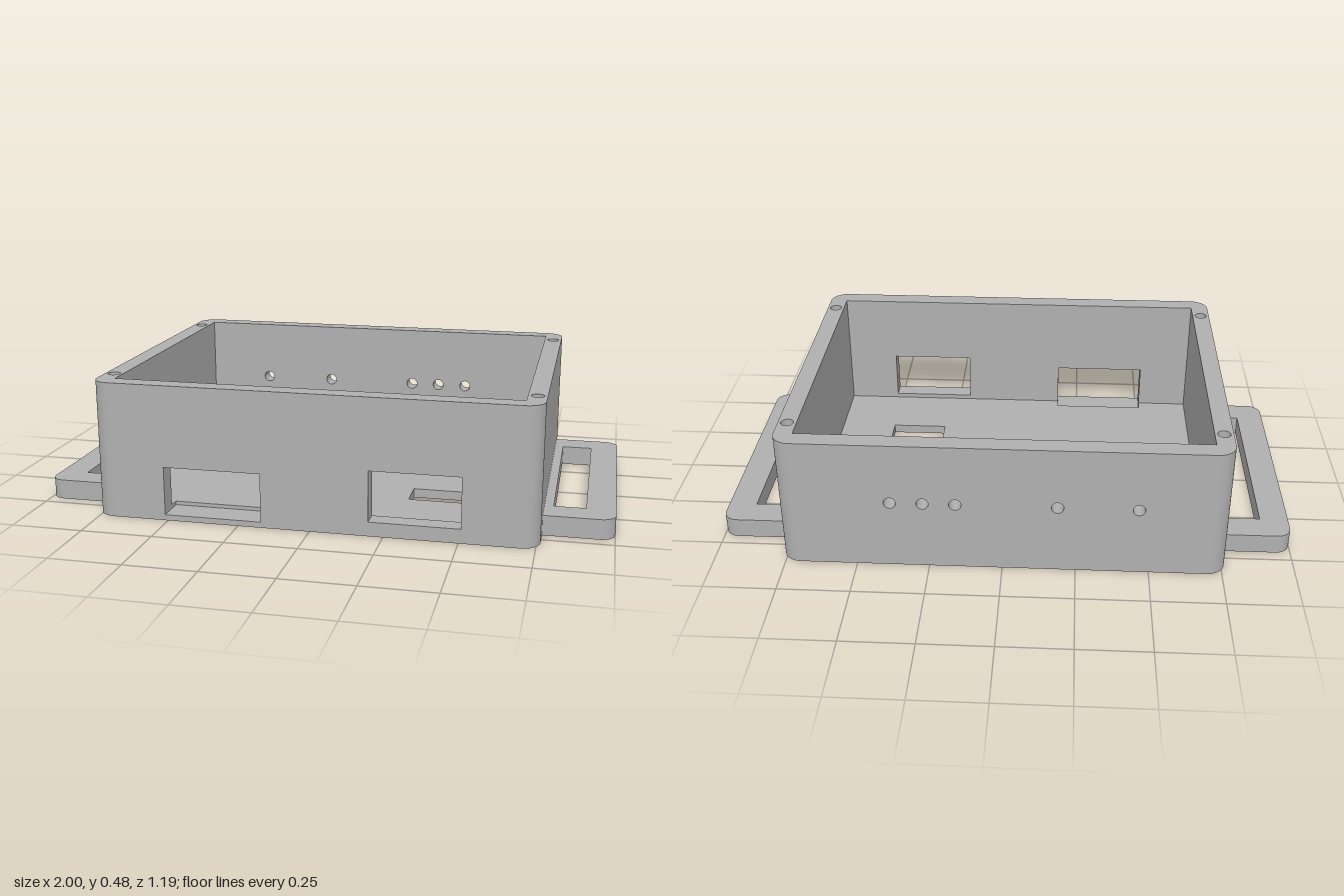
import * as THREE from 'three';
import { toCreasedNormals } from 'three/addons/utils/BufferGeometryUtils.js';

// Main dimensions
const X = 0.762, Z = 0.593, H = 0.476;   // outer half width, half depth, height
const IX = 0.698, IZ = 0.527;            // inner half width, half depth
const NOTCH_Y = 0.02, FLOOR_Y = 0.033, SCREW_DEPTH = 0.15;

function polygon(points) {
  return new THREE.Shape(points.map(([x, y]) => new THREE.Vector2(x, y)));
}

function rectHole(x0, x1, y0, y1) {
  return polygon([[x0, y0], [x0, y1], [x1, y1], [x1, y0]]);
}

function roundHole(x, y, r) {
  return new THREE.Path().absarc(x, y, r, 0, Math.PI * 2, true);
}

// Strip from x0 to x1 whose two corners at x1 are rounded
function roundedStrip(x0, x1, halfLength, r) {
  const s = new THREE.Shape();
  s.moveTo(x0, -halfLength);
  s.lineTo(x1 - r, -halfLength);
  s.absarc(x1 - r, -halfLength + r, r, -Math.PI / 2, 0, false);
  s.lineTo(x1, halfLength - r);
  s.absarc(x1 - r, halfLength - r, r, 0, Math.PI / 2, false);
  s.lineTo(x0, halfLength);
  s.closePath();
  return s;
}

function extrude(shape, depth, holes = []) {
  shape.holes.push(...holes);
  const geo = new THREE.ExtrudeGeometry(shape, { depth, bevelEnabled: false, curveSegments: 10 });
  return toCreasedNormals(geo, 0.6);
}

export function createModel() {
  const model = new THREE.Group();
  model.name = 'enclosure';
  const grey = new THREE.MeshStandardMaterial({ color: 0xb0b0b0 });
  grey.name = 'grey plastic';

  const add = (name, geo, parent = model) => {
    const mesh = new THREE.Mesh(geo, grey);
    mesh.name = name;
    parent.add(mesh);
    return mesh;
  };
  // Plan shapes use (x, -z) and rise from y0 to y1
  const addPlan = (name, shape, y0, y1, holes, parent) =>
    add(name, extrude(shape, y1 - y0, holes).rotateX(-Math.PI / 2).translate(0, y0, 0), parent);

  // Floor in two layers, so the upper one can carry the notch behind the left window
  const port = () => rectHole(0.285, 0.49, -0.29, -0.172);
  addPlan('floorBase', polygon([[-IX, -IZ], [IX, -IZ], [IX, IZ], [-IX, IZ]]), 0, NOTCH_Y, [port()]);
  addPlan('floorTop', polygon([
    [-IX, -IZ], [-0.51, -IZ], [-0.51, -0.487], [-0.17, -0.487], [-0.17, -IZ],
    [IX, -IZ], [IX, IZ], [-IX, IZ],
  ]), NOTCH_Y, FLOOR_Y, [port()]);

  // Front wall with two connector windows
  const panel = () => polygon([[-IX, 0], [IX, 0], [IX, H], [-IX, H]]);
  add('frontWall', extrude(panel(), Z - IZ, [
    rectHole(-0.51, -0.17, NOTCH_Y, 0.19),
    rectHole(0.2, 0.508, 0.05, 0.227),
  ])).position.z = IZ;

  // Back wall with a row of small round holes
  const ledHoles = [-0.457, -0.186, 0.157, 0.267, 0.377].map(x => roundHole(x, 0.253, 0.021));
  add('backWall', extrude(panel(), Z - IZ, ledHoles)).position.z = -Z;

  // Side walls with blind screw holes, and the slotted strap ears
  for (const side of ['left', 'right']) {
    const group = new THREE.Group();
    group.name = side + 'Side';
    if (side === 'right') group.rotation.y = Math.PI;
    const wall = () => roundedStrip(IX, X, Z, X - IX - 0.001);
    const screws = [-0.458, 0.458].map(z => roundHole(0.73, z, 0.022));
    addPlan(side + 'WallLower', wall(), 0, H - SCREW_DEPTH, [], group);
    addPlan(side + 'WallUpper', wall(), H - SCREW_DEPTH, H, screws, group);
    addPlan(side + 'StrapEar', roundedStrip(X - 0.002, 1, 0.458, 0.05), 0, 0.07,
      [rectHole(0.793, 0.901, -0.356, 0.356)], group);
    model.add(group);
  }
  return model;
}
